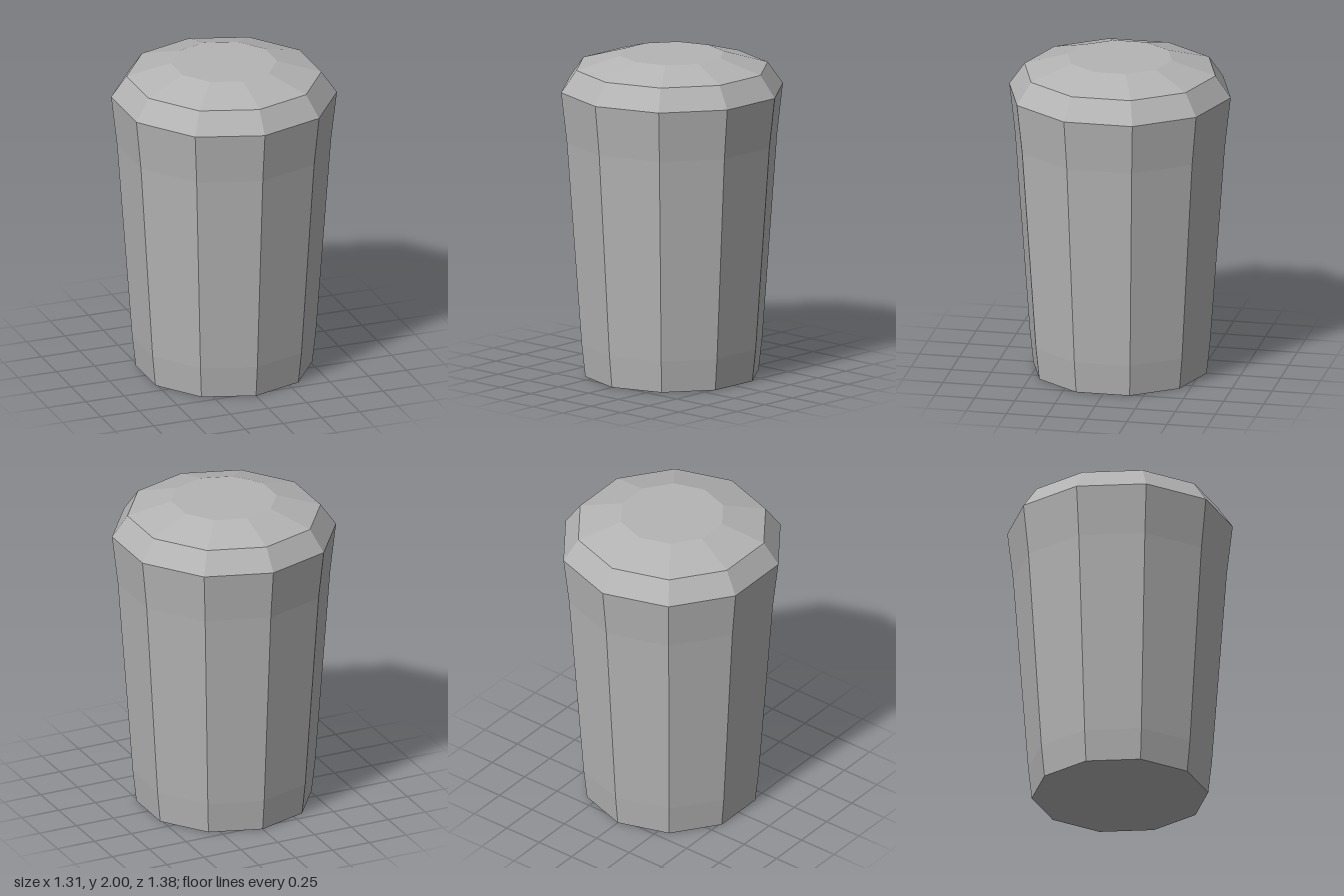
import * as THREE from 'three';

const SIDES = 10;

export function createModel() {
  const group = new THREE.Group();
  group.name = 'taperedPeg';

  const stone = new THREE.MeshStandardMaterial({ color: 0xb4b4b4, flatShading: true });
  stone.name = 'plain grey';

  // Ten-sided turned part from [radius, height] pairs, listed bottom to top
  const turned = (name, profile) => {
    const points = profile.map(([r, y]) => new THREE.Vector2(r, y));
    const mesh = new THREE.Mesh(new THREE.LatheGeometry(points, SIDES), stone);
    mesh.name = name;
    group.add(mesh);
  };

  // Closed base and slightly curved, widening sides
  turned('body', [[0, 0], [0.54, 0], [0.562, 0.2], [0.654, 1.47], [0.69, 1.785]]);

  // Steep bevel, shallow bevel and flat top
  turned('cap', [[0.69, 1.785], [0.595, 1.92], [0.324, 2], [0, 2]]);

  return group;
}
